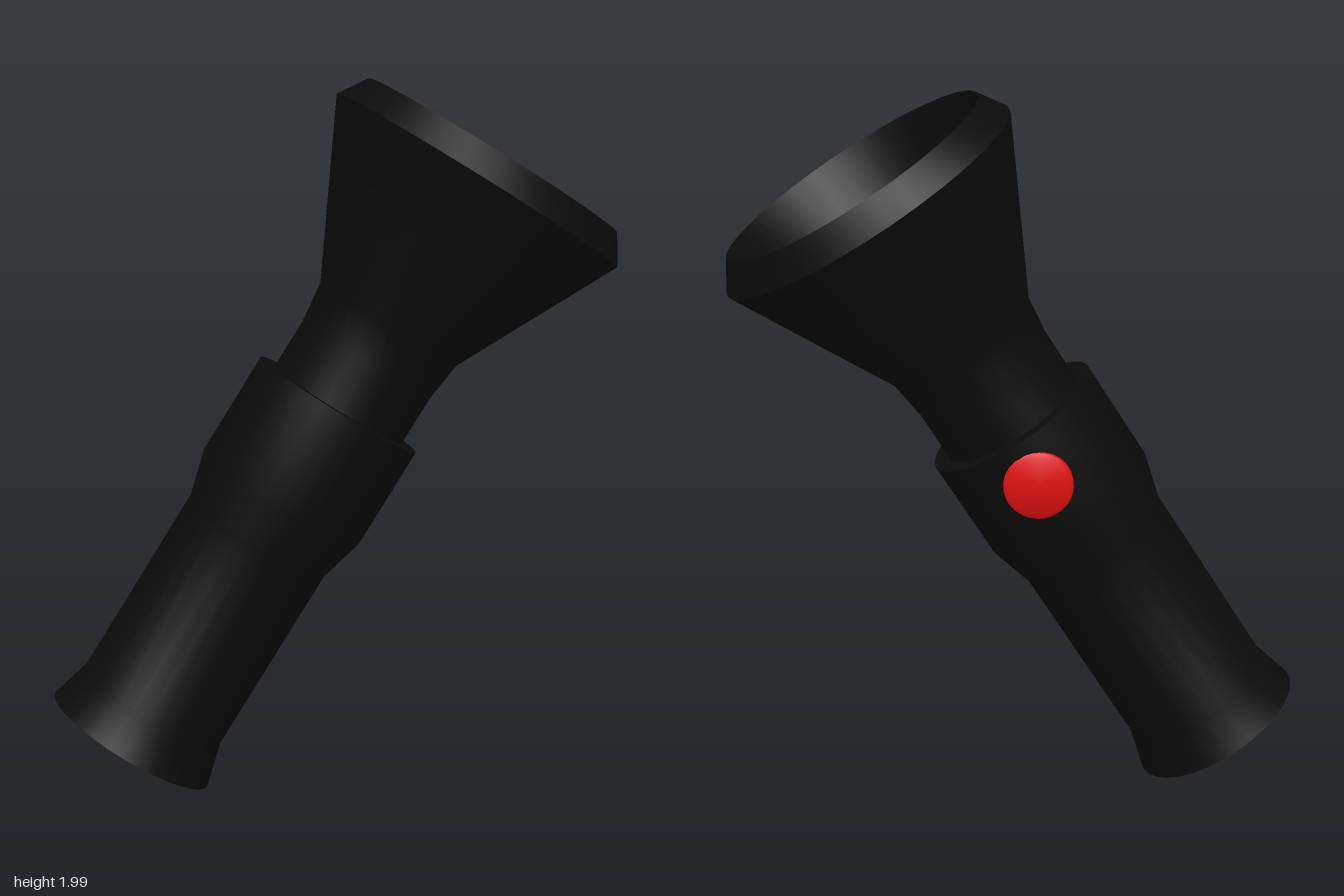
import * as THREE from 'three';
import { toCreasedNormals } from 'three/addons/utils/BufferGeometryUtils.js';

const SEGMENTS = 32;
const black = new THREE.MeshStandardMaterial({ color: 0x0b0b0b });
const red = new THREE.MeshStandardMaterial({ color: 0xe01010 });
const yellow = new THREE.MeshStandardMaterial({ color: 0xf0f010 });

// Turned part from [radius, height] pairs, listed bottom to top along the outside
function turned(name, profile, material) {
  const points = profile.map(([r, y]) => new THREE.Vector2(r, y));
  const geometry = toCreasedNormals(new THREE.LatheGeometry(points, SEGMENTS), 0.6);
  const mesh = new THREE.Mesh(geometry, material);
  mesh.name = name;
  return mesh;
}

export function createModel() {
  const model = new THREE.Group();
  model.name = 'flashlight';

  // Handle: flared butt, straight grip and wider collar with a flat ledge
  model.add(turned('handle', [
    [0, 0], [0.254, 0], [0.221, 0.123], [0.221, 0.688],
    [0.256, 0.817], [0.256, 1.122], [0.209, 1.122],
  ], black));

  // Head: neck, flaring cone, bevelled rim and the reflector recess inside
  model.add(turned('head', [
    [0.209, 1.122], [0.209, 1.271], [0.223, 1.387], [0.459, 1.856],
    [0.407, 1.937], [0.325, 1.705],
  ], black));

  // Lens disc at the bottom of the recess
  const lens = new THREE.Mesh(new THREE.CircleGeometry(0.326, SEGMENTS), yellow);
  lens.name = 'lens';
  lens.rotation.x = -Math.PI / 2;
  lens.position.y = 1.705;
  model.add(lens);

  // Round switch button on the back of the collar
  const button = turned('switchButton', [
    [0, 0], [0.096, 0], [0.096, 0.034], [0.084, 0.042], [0, 0.042],
  ], red);
  button.rotation.x = -Math.PI / 2;
  button.position.set(0, 0.989, -0.221);
  model.add(button);

  // Lean the whole light over towards +x
  model.rotation.z = -0.561;
  model.position.set(-0.577, 0.137, 0);

  const root = new THREE.Group();
  root.add(model);
  return root;
}
